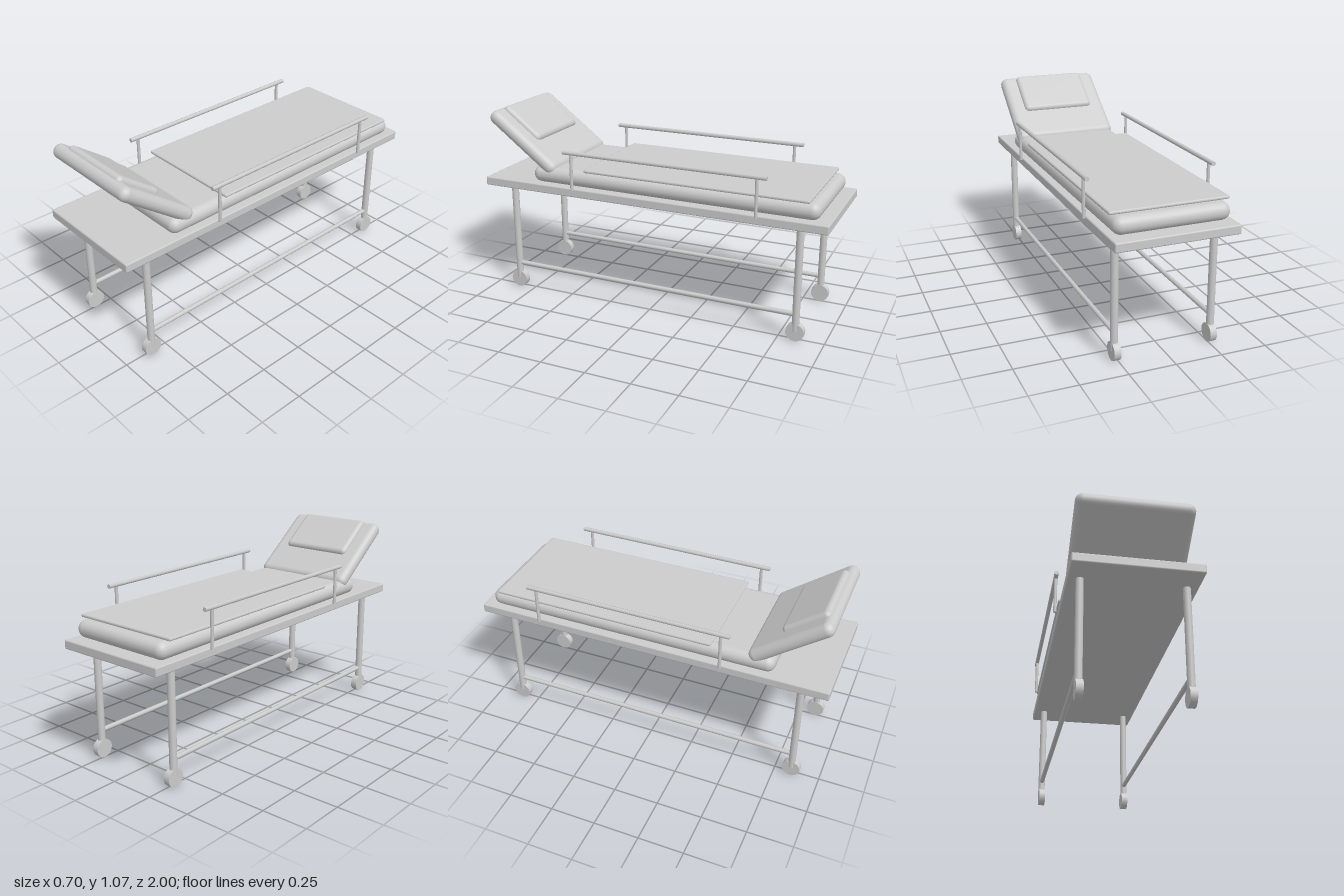
import * as THREE from 'three';
import { RoundedBoxGeometry } from 'three/addons/geometries/RoundedBoxGeometry.js';

export function createModel() {
  const bed = new THREE.Group();
  bed.name = 'hospitalBed';
  const grey = new THREE.MeshStandardMaterial({ color: 0xcccccc });
  grey.name = 'lightGrey';

  function add(name, geometry, x, y, z, parent = bed) {
    const mesh = new THREE.Mesh(geometry, grey);
    mesh.name = name;
    mesh.position.set(x, y, z);
    parent.add(mesh);
    return mesh;
  }
  const padded = (w, h, d, r, segments = 3) => new RoundedBoxGeometry(w, h, d, segments, r);
  const post = (r, length, sides) => new THREE.CylinderGeometry(r, r, length, sides);
  const barAlongZ = (r, length, sides) => post(r, length, sides).rotateX(Math.PI / 2);

  // Frame board, mattress and the thin sheet on it
  add('frameBoard', padded(0.65, 0.05, 2, 0.008, 1), 0, 0.655, 0);
  add('mattress', padded(0.61, 0.092, 1.645, 0.045), 0, 0.726, -0.122);
  add('sheet', padded(0.628, 0.018, 1.26, 0.0085, 1), 0, 0.784, -0.265);

  // Raised backrest with its pillow, tilted up towards the front
  const backrest = new THREE.Group();
  backrest.name = 'backrest';
  backrest.position.set(0, 0.894, 0.765);
  backrest.rotation.x = -Math.atan2(0.6, 0.8);
  bed.add(backrest);
  add('backrestPad', padded(0.61, 0.078, 0.5, 0.038), 0, 0, 0, backrest);
  add('pillow', padded(0.43, 0.054, 0.28, 0.026), 0, 0.035, 0.093, backrest);

  for (const side of [1, -1]) {
    const label = side > 0 ? 'left' : 'right';
    // Legs and wheels
    for (const end of [1, -1]) {
      const corner = label + (end > 0 ? 'Front' : 'Back');
      add(corner + 'Leg', post(0.02, 0.575, 16), side * 0.264, 0.345, end * 0.845);
      add(corner + 'Wheel', post(0.05, 0.036, 16).rotateZ(Math.PI / 2), side * 0.262, 0.05, end * 0.845);
    }
    // Lower brace between the legs
    add(label + 'Brace', barAlongZ(0.013, 1.69, 10), side * 0.264, 0.15, 0);

    // Side guard rail on two posts
    add(label + 'Rail', barAlongZ(0.012, 1.155, 8), side * 0.337, 0.887, -0.104);
    for (const z of [0.425, -0.63]) {
      add(label + 'RailPost', post(0.009, 0.212, 8), side * 0.337, 0.781, z);
    }
  }
  return bed;
}
